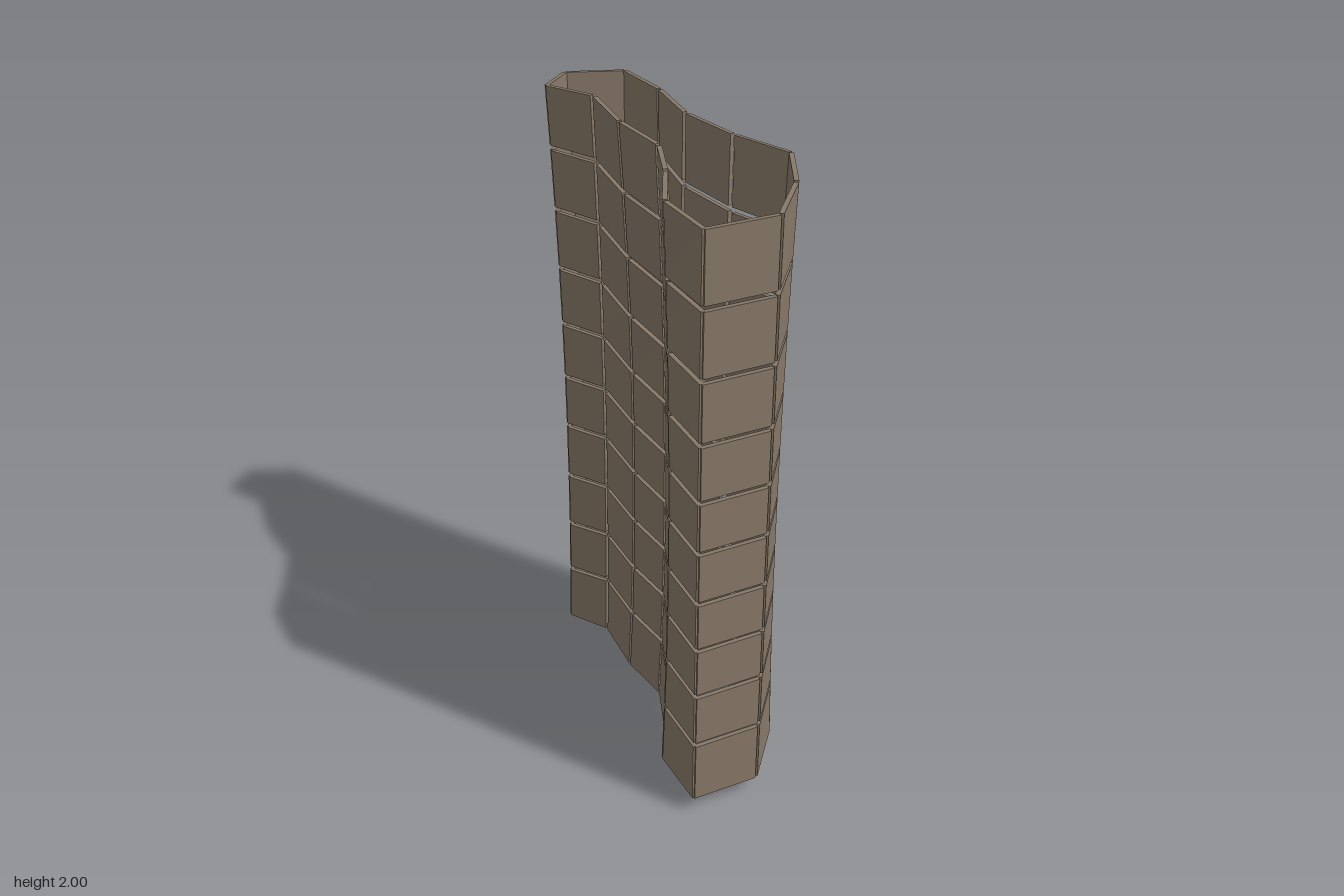
import * as THREE from 'three';

// plan corners as [x, z at the top, x, z at the waist], running counterclockwise from above
const corners = [
  [-0.33, -0.487, -0.315, -0.46], [-0.497, -0.39, -0.468, -0.385],
  [-0.488, -0.245, -0.455, -0.247], [-0.315, -0.222, -0.295, -0.228],
  [-0.155, -0.066, -0.12, -0.078], [0.015, 0.04, 0.045, 0.038],
  [0.10, 0.185, 0.137, 0.195], [0.175, 0.355, 0.195, 0.35],
  [0.345, 0.482, 0.345, 0.48], [0.49, 0.31, 0.488, 0.305],
  [0.45, 0.085, 0.442, 0.11], [0.37, -0.088, 0.37, -0.038],
  [0.18, -0.133, 0.195, -0.083], [-0.005, -0.222, 0.012, -0.18],
  [-0.155, -0.37, -0.135, -0.347],
];
// heights of the row joints at the two ends of the long plan
const leftJoints = [0, 0.21, 0.41, 0.615, 0.82, 1.01, 1.21, 1.41, 1.61, 1.81, 2];
const rightJoints = [0.06, 0.28, 0.47, 0.645, 0.815, 0.99, 1.16, 1.345, 1.54, 1.75, 1.968];
const ROWS = leftJoints.length - 1;
const THICK = 0.014, GAP_SIDE = 0.006, GAP_ROW = 0.008;

// point of the curved wall at plan corner i and row joint j
function node(i, j) {
  const [x0, z0, x1, z1] = corners[i % corners.length];
  const s = (x0 + z0) / 2;
  const f = THREE.MathUtils.clamp((s + 0.42) / 0.69, 0, 1);
  const blend = j === 0 || j === ROWS ? f * f : f;
  const y = THREE.MathUtils.lerp(leftJoints[j], rightJoints[j], blend);
  const mid = 0.9 + 0.3 * s;
  const w = 1 - ((y - mid) / (2 - mid)) ** 2;
  return new THREE.Vector3(x0 + (x1 - x0) * w, y, z0 + (z1 - z0) * w);
}

// thin slab stretched between four nodes, inset for the open joints
function panelGeometry(i, j) {
  const a = node(i, j), b = node(i + 1, j), c = node(i, j + 1), d = node(i + 1, j + 1);
  const gu = GAP_SIDE / a.distanceTo(b), gv = GAP_ROW / a.distanceTo(c);
  const v0 = j === 0 ? 0 : gv, v1 = j === ROWS - 1 ? 1 : 1 - gv;
  const inward = b.clone().sub(a).add(d).sub(c)
    .cross(c.clone().sub(a).add(d).sub(b)).normalize().multiplyScalar(-THICK);
  const geo = new THREE.BoxGeometry(1, 1, 1);
  const pos = geo.attributes.position;
  for (let k = 0; k < pos.count; k++) {
    const u = pos.getX(k) > 0 ? 1 - gu : gu;
    const v = pos.getY(k) > 0 ? v1 : v0;
    const p = a.clone().lerp(b, u).lerp(c.clone().lerp(d, u), v);
    if (pos.getZ(k) < 0) p.add(inward);
    pos.setXYZ(k, p.x, p.y, p.z);
  }
  geo.computeVertexNormals();
  return geo;
}

export function createModel() {
  const model = new THREE.Group();
  model.name = 'panelWall';
  const stone = new THREE.MeshStandardMaterial({ color: 0x877868 });
  stone.name = 'warm grey';

  // stacked rings of panels
  for (let j = 0; j < ROWS; j++) {
    const row = new THREE.Group();
    row.name = `panelRow${j + 1}`;
    for (let i = 0; i < corners.length; i++) {
      const panel = new THREE.Mesh(panelGeometry(i, j), stone);
      panel.name = `panel${i + 1}`;
      row.add(panel);
    }
    model.add(row);
  }
  return model;
}
